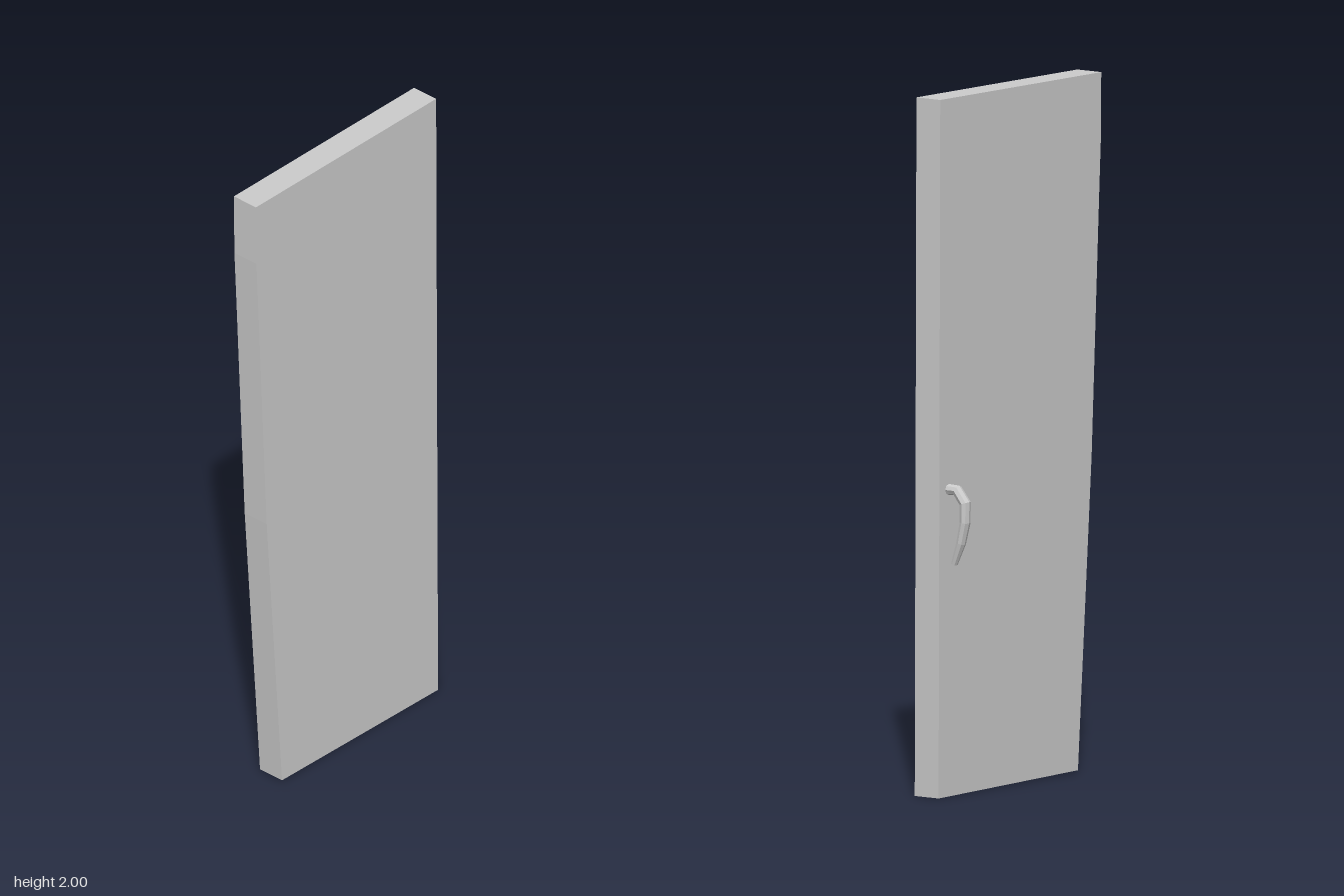
import * as THREE from 'three';

const material = new THREE.MeshStandardMaterial({ color: 0xcccccc, flatShading: true });

// Lofts oval rings along stations [y, z, halfWidth, halfThickness] lying in the plane x = 0
function loft(stations, sides) {
  const positions = [], index = [];
  stations.forEach(([y, z, rx, rn], i) => {
    const a = stations[Math.max(i - 1, 0)], b = stations[Math.min(i + 1, stations.length - 1)];
    const length = Math.hypot(b[0] - a[0], b[1] - a[1]);
    const ty = (b[0] - a[0]) / length, tz = (b[1] - a[1]) / length;
    for (let j = 0; j < sides; j++) {
      const t = (j / sides) * Math.PI * 2, n = Math.sin(t) * rn;
      positions.push(Math.cos(t) * rx, y + tz * n, z - ty * n);
    }
  });
  const last = (stations.length - 1) * sides;
  for (let i = 0; i < last; i += sides) {
    for (let j = 0; j < sides; j++) {
      const k = (j + 1) % sides;
      index.push(i + j, i + k, i + sides + k, i + j, i + sides + k, i + sides + j);
    }
  }
  // End caps
  for (let j = 1; j < sides - 1; j++) {
    index.push(0, j + 1, j, last, last + j, last + j + 1);
  }
  const geometry = new THREE.BufferGeometry();
  geometry.setAttribute('position', new THREE.Float32BufferAttribute(positions, 3));
  geometry.setIndex(index);
  geometry.computeVertexNormals();
  return geometry;
}

export function createModel() {
  const model = new THREE.Group();
  model.name = 'door';

  // Door panel with one slightly bowed, slanting edge
  const outline = [
    [-0.272, 0.005], [0.38, 0], [0.376, 0.95], [0.372, 2], [-0.381, 1.992],
    [-0.379, 1.8], [-0.37, 1.62], [-0.336, 0.9],
  ].map(([x, y]) => new THREE.Vector2(x, y));
  const panelGeometry = new THREE.ExtrudeGeometry(new THREE.Shape(outline), { depth: 0.085, bevelEnabled: false });
  const panel = new THREE.Mesh(panelGeometry, material);
  panel.name = 'panel';
  panel.position.z = -0.005;
  model.add(panel);

  // Curved handle on the back, drooping from its stem and tapering to the tip
  const handle = new THREE.Mesh(loft([
    [0.88, 0, 0.017, 0.016],
    [0.88, -0.035, 0.017, 0.016],
    [0.845, -0.063, 0.018, 0.016],
    [0.79, -0.063, 0.018, 0.014],
    [0.73, -0.049, 0.016, 0.013],
    [0.668, -0.025, 0.011, 0.009],
  ], 8), material);
  handle.name = 'handle';
  handle.position.x = 0.332;
  model.add(handle);

  return model;
}
